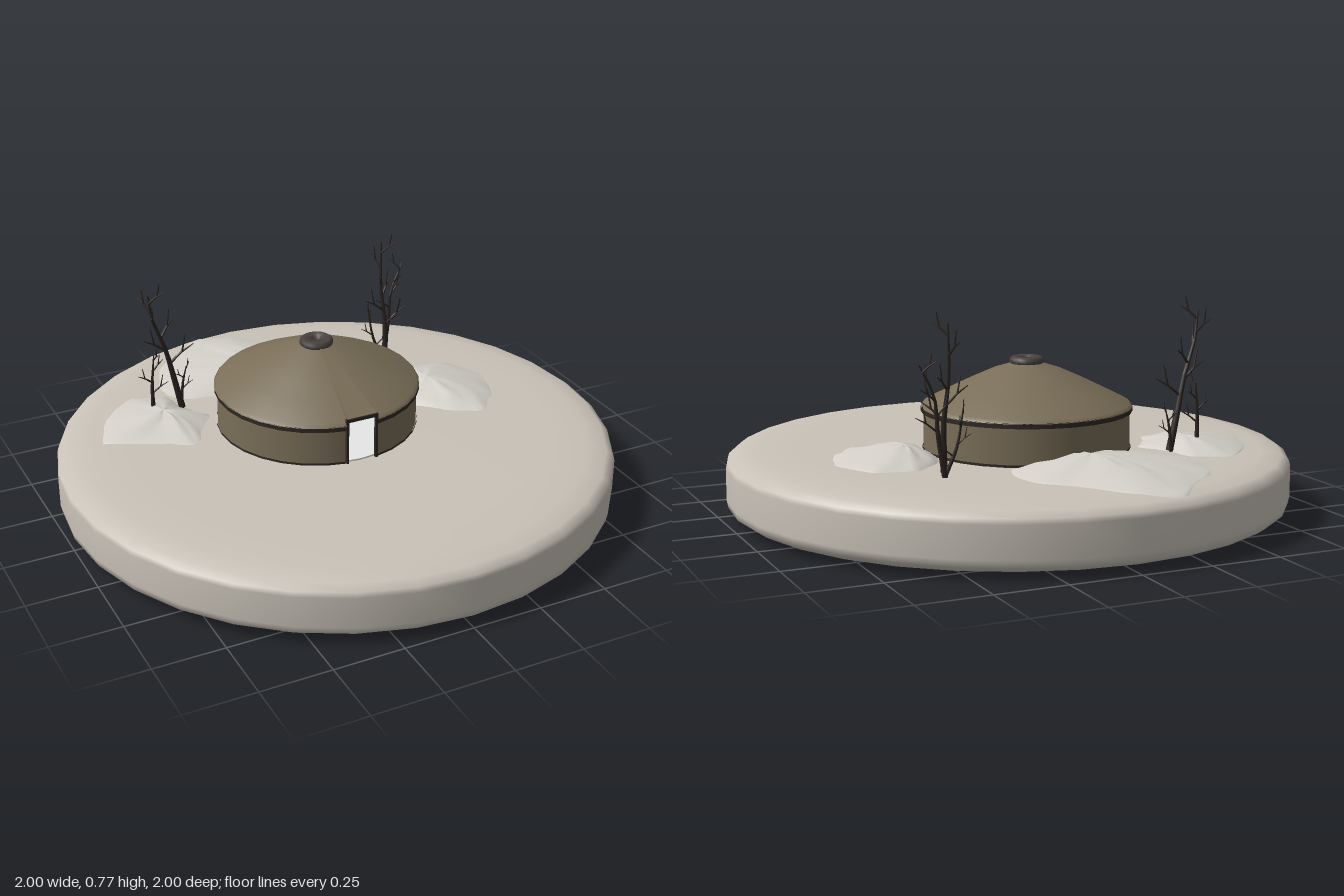
import * as THREE from 'three';
import { mergeGeometries } from 'three/addons/utils/BufferGeometryUtils.js';

const mat = (name, color, side = THREE.FrontSide) => {
  const m = new THREE.MeshStandardMaterial({ color, side });
  m.name = name;
  return m;
};

export function createModel() {
  const ground = mat('packed snow', 0xc9c2b8);
  const drift = mat('drift snow', 0xd3cfc8, THREE.DoubleSide);
  const felt = mat('brown felt', 0x7a6e58, THREE.DoubleSide);
  const trim = mat('dark rope', 0x2f2723, THREE.DoubleSide);
  const crownWood = mat('crown wood', 0x4b4241);
  const bark = mat('bare bark', 0x2b2421);
  const pale = mat('pale floor', 0xfafafa);

  const model = new THREE.Group();
  const add = (parent, name, geo, material, x = 0, y = 0, z = 0) => {
    const m = new THREE.Mesh(geo, material);
    m.name = name;
    m.position.set(x, y, z);
    parent.add(m);
    return m;
  };
  const profile = (pts) => pts.map(([r, y]) => new THREE.Vector2(r, y));
  let seed = 11;
  const rand = () => (seed = (seed * 16807) % 2147483647) / 2147483647;

  // Round base with softened rims
  add(model, 'base', new THREE.LatheGeometry(profile([
    [0, 0], [0.7, 0.006], [0.9, 0.015], [0.97, 0.027], [0.995, 0.045], [1, 0.07],
    [1, 0.18], [0.995, 0.198], [0.97, 0.217], [0.9, 0.229], [0.75, 0.235], [0, 0.238],
  ]), 32), ground);

  // Round tent, with a gap in wall and roof for the doorway
  const tent = new THREE.Group();
  tent.name = 'tent';
  tent.position.set(-0.02, 0, -0.115);
  model.add(tent);
  const gap = 0.15, sweep = Math.PI * 2 - gap * 2;
  const shell = (name, r, y0, y1, material) => add(tent, name,
    new THREE.CylinderGeometry(r, r, y1 - y0, 28, 1, true, gap, sweep), material, 0, (y0 + y1) / 2, 0);
  shell('wall', 0.362, 0.235, 0.39, felt);
  shell('eaveBand', 0.371, 0.368, 0.386, trim);
  shell('footBand', 0.366, 0.236, 0.245, trim);
  add(tent, 'floor', new THREE.CylinderGeometry(0.358, 0.358, 0.006, 28), pale, 0, 0.24, 0);
  add(tent, 'roof', new THREE.LatheGeometry(profile([
    [0.372, 0.384], [0.362, 0.397], [0.28, 0.438], [0.2, 0.477], [0.12, 0.513], [0.04, 0.538],
  ]), 28, gap, sweep), felt);
  add(tent, 'crownRing', new THREE.LatheGeometry(profile([
    [0.014, 0.53], [0.05, 0.528], [0.06, 0.536], [0.06, 0.55], [0.05, 0.557], [0.016, 0.556], [0.014, 0.53],
  ]), 16), crownWood);

  // Raised roof panel running from the crown to the door head
  const A = [0.012, 0.538, 0.055], B = [0.056, 0.412, 0.365], C = [0.056, 0.383, 0.362];
  const flip = ([x, y, z]) => [-x, y, z];
  const porch = new THREE.BufferGeometry();
  porch.setAttribute('position', new THREE.Float32BufferAttribute([
    flip(A), flip(B), B, flip(A), B, A, A, B, C, flip(A), flip(C), flip(B),
  ].flat(), 3));
  porch.computeVertexNormals();
  add(tent, 'doorRoof', porch, felt);

  // Door frame
  for (const s of [-1, 1]) add(tent, 'doorPost', new THREE.BoxGeometry(0.009, 0.17, 0.012), trim, s * 0.056, 0.323, 0.361);
  add(tent, 'doorHead', new THREE.BoxGeometry(0.121, 0.012, 0.012), trim, 0, 0.404, 0.362);

  // Snow drifts: rings shrinking from an outline to a peak
  const makeDrift = (name, outline, peak) => {
    const curve = new THREE.CatmullRomCurve3(outline.map(([x, z]) => new THREE.Vector3(x, 0, z)), true, 'catmullrom', 0.2);
    const n = 26, pos = [], idx = [];
    const rings = [[0, -0.012], [0.04, 0.15], [0.25, 0.38], [0.5, 0.68], [0.78, 0.92], [1, 1]];
    rings.forEach(([t, h], j) => {
      for (let i = 0; i < n; i++) {
        const p = curve.getPoint(i / n);
        const wobble = j > 0 && j < 5 ? (rand() - 0.5) * 0.01 : 0;
        const rim = 0.228 - Math.max(0, p.length() - 0.85) * 0.08;
        pos.push(p.x + (peak[0] - p.x) * t, rim + (peak[1] - rim) * h + wobble, p.z + (peak[2] - p.z) * t);
        if (j < rings.length - 1) {
          const a = j * n + i, b = j * n + (i + 1) % n;
          idx.push(a, a + n, b, b, a + n, b + n);
        }
      }
    });
    const geo = new THREE.BufferGeometry();
    geo.setAttribute('position', new THREE.Float32BufferAttribute(pos, 3));
    // Outlines run clockwise as seen from above, so turn the faces upward
    for (let i = 0; i < idx.length; i += 3) [idx[i + 1], idx[i + 2]] = [idx[i + 2], idx[i + 1]];
    geo.setIndex(idx);
    geo.computeVertexNormals();
    add(model, name, geo, drift);
  };
  makeDrift('backDrift', [[-0.44, -0.46], [-0.47, -0.6], [-0.39, -0.76], [-0.27, -0.86], [-0.17, -0.96], [-0.03, -0.9],
    [0.1, -0.76], [0.2, -0.66], [0.24, -0.55], [0.19, -0.44], [0, -0.4], [-0.22, -0.41]], [-0.05, 0.292, -0.55]);
  makeDrift('rightDrift', [[-0.79, -0.27], [-0.72, -0.44], [-0.59, -0.56], [-0.46, -0.52], [-0.43, -0.4],
    [-0.36, -0.29], [-0.43, -0.18], [-0.49, -0.1], [-0.63, -0.18]], [-0.53, 0.278, -0.34]);
  makeDrift('leftDrift', [[0.35, -0.23], [0.47, -0.34], [0.62, -0.31], [0.71, -0.13], [0.65, 0.02],
    [0.55, 0.12], [0.42, 0.05], [0.33, -0.05]], [0.45, 0.288, -0.14]);

  // Bare trees: tapered segments along a path, with forked twigs
  const up = new THREE.Vector3(0, 1, 0);
  const limb = (list, pts, r0, r1) => {
    for (let i = 0; i < pts.length - 1; i++) {
      const d = pts[i + 1].clone().sub(pts[i]);
      const r = (k) => r0 + (r1 - r0) * k / (pts.length - 1);
      const g = new THREE.CylinderGeometry(r(i + 1), r(i), d.length() * 1.03, 6);
      g.applyQuaternion(new THREE.Quaternion().setFromUnitVectors(up, d.clone().normalize()));
      g.translate(...pts[i].clone().addScaledVector(d, 0.5).toArray());
      list.push(g);
    }
  };
  const makeTree = (name, stems) => {
    const list = [];
    for (const { path, r, twigs, reach } of stems) {
      const curve = new THREE.CatmullRomCurve3(path.map((p) => new THREE.Vector3(...p)));
      limb(list, curve.getPoints(8), r, r * 0.25);
      for (let i = 0; i < twigs; i++) {
        const t = 0.35 + 0.58 * i / Math.max(1, twigs - 1), a = i * 2.5 + rand();
        const size = reach * (1.15 - 0.5 * t);
        const p0 = curve.getPoint(t);
        const out = new THREE.Vector3(Math.cos(a), 0, Math.sin(a) * 0.75);
        const p1 = p0.clone().addScaledVector(out, size * 0.5).addScaledVector(up, size * 0.4);
        const p2 = p1.clone().addScaledVector(out, size * 0.15).addScaledVector(up, size * 0.7);
        const p3 = p1.clone().addScaledVector(out, size * 0.45).addScaledVector(up, size * 0.25);
        limb(list, [p0, p1, p2], r * 0.42, r * 0.14);
        limb(list, [p1, p3], r * 0.3, r * 0.12);
      }
    }
    add(model, name, mergeGeometries(list), bark);
  };
  makeTree('rightTrees', [
    { path: [[-0.435, 0.24, -0.4], [-0.465, 0.38, -0.4], [-0.495, 0.5, -0.39], [-0.54, 0.62, -0.38], [-0.555, 0.72, -0.37]], r: 0.013, twigs: 6, reach: 0.1 },
    { path: [[-0.55, 0.25, -0.39], [-0.55, 0.36, -0.39], [-0.535, 0.47, -0.4]], r: 0.009, twigs: 4, reach: 0.065 },
    { path: [[-0.43, 0.24, -0.42], [-0.42, 0.33, -0.42], [-0.405, 0.39, -0.42]], r: 0.007, twigs: 3, reach: 0.045 },
  ]);
  makeTree('leftTrees', [
    { path: [[0.405, 0.23, -0.39], [0.41, 0.4, -0.4], [0.4, 0.55, -0.42], [0.405, 0.73, -0.43]], r: 0.012, twigs: 6, reach: 0.1 },
    { path: [[0.43, 0.23, -0.46], [0.455, 0.38, -0.46], [0.47, 0.5, -0.47], [0.525, 0.61, -0.48]], r: 0.01, twigs: 5, reach: 0.08 },
    { path: [[0.42, 0.23, -0.43], [0.385, 0.33, -0.45], [0.365, 0.46, -0.46]], r: 0.008, twigs: 4, reach: 0.055 },
  ]);
  return model;
}
